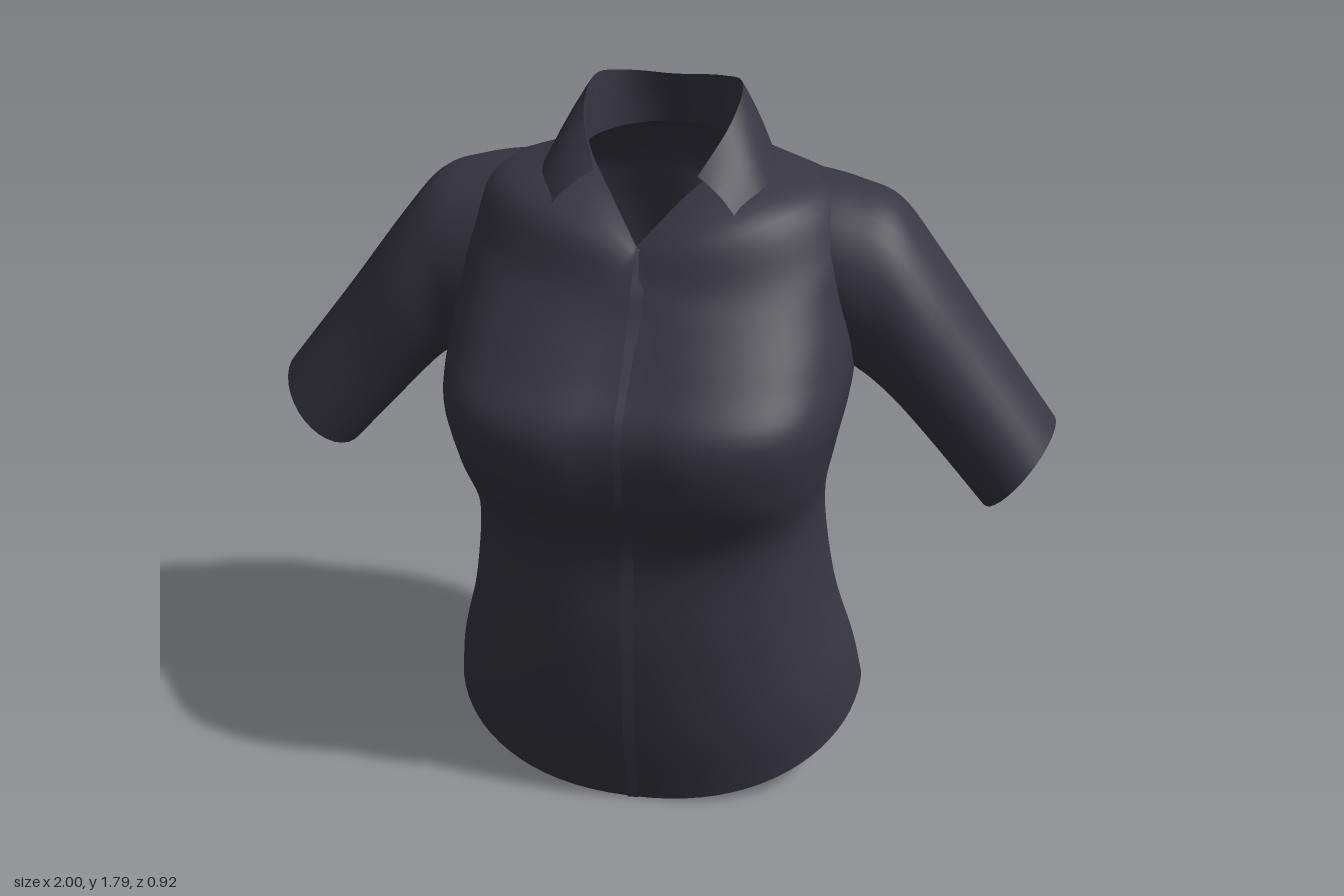
import * as THREE from 'three';

const cloth = new THREE.MeshStandardMaterial({ color: 0x373641, side: THREE.DoubleSide });
cloth.name = 'charcoal cloth';

// Smooth sheet of nu x nv cells; point(u, v) gives a Vector3, closed joins the ends of u
function sheet(name, nu, nv, closed, point) {
  const cols = closed ? nu : nu + 1;
  const pos = [], idx = [];
  for (let j = 0; j <= nv; j++)
    for (let i = 0; i < cols; i++) pos.push(...point(i / nu, j / nv).toArray());
  for (let j = 0; j < nv; j++)
    for (let i = 0; i < nu; i++) {
      const a = j * cols + i, b = j * cols + ((i + 1) % cols);
      idx.push(a, b, b + cols, a, b + cols, a + cols);
    }
  const g = new THREE.BufferGeometry();
  g.setAttribute('position', new THREE.Float32BufferAttribute(pos, 3));
  g.setIndex(idx);
  g.computeVertexNormals();
  const mesh = new THREE.Mesh(g, cloth);
  mesh.name = name;
  return mesh;
}

const spow = (v, p) => Math.sign(v) * Math.pow(Math.abs(v), p);

// Torso rings, hem to neckline:
// half width, z front, z back, z of sides, y front, y sides, y back, front squareness, front dip, back dip
const rings = [
  [0.55, 0.315, -0.45, -0.10, 0.0, 0.165, 0.125, 0.9, 0, 0],
  [0.525, 0.36, -0.375, -0.08, 0.22, 0.30, 0.28, 0.85, 0, 0],
  [0.47, 0.38, -0.31, -0.05, 0.48, 0.50, 0.50, 0.8, 0, 0.01],
  [0.44, 0.382, -0.30, -0.02, 0.74, 0.75, 0.75, 0.75, 0.005, 0.02],
  [0.465, 0.455, -0.345, 0.0, 0.93, 0.92, 0.92, 0.65, 0.02, 0.03],
  [0.495, 0.468, -0.40, 0.0, 1.09, 1.07, 1.07, 0.62, 0.025, 0.035],
  [0.50, 0.39, -0.455, -0.05, 1.20, 1.20, 1.20, 0.68, 0.02, 0.035],
  [0.49, 0.305, -0.462, -0.10, 1.31, 1.33, 1.32, 0.75, 0.01, 0.035],
  [0.48, 0.258, -0.45, -0.13, 1.38, 1.46, 1.42, 0.85, 0, 0.03],
  [0.43, 0.23, -0.43, -0.14, 1.42, 1.555, 1.50, 1, 0, 0.015],
  [0.30, 0.21, -0.38, -0.13, 1.45, 1.605, 1.58, 1.25, 0, 0],
  [0.20, 0.19, -0.29, -0.11, 1.475, 1.635, 1.65, 1.8, 0, 0],
];

function ringPoint(k, a) {
  const [w, zf, zb, zm, yf, ys, yb, p, frontDip, backDip] = rings[k];
  const s = Math.sin(a), c = Math.cos(a), front = c > 0;
  const e = front ? p : 0.9;
  const x = w * spow(s, e);
  let z = zm + (front ? zf - zm : zm - zb) * spow(c, e);
  z += (front ? -frontDip : backDip) * Math.exp(-((x / 0.1) ** 2));
  // the front of the top rings dips in a V, the others in a curve
  const vee = Math.pow(1 - Math.abs(x) / w, 1.4), bow = Math.pow(Math.abs(c), 1.3);
  const y = ys + (front ? (yf - ys) * (k > 8 ? vee : bow) : (yb - ys) * bow);
  return new THREE.Vector3(x, y, z);
}

const torsoCurve = (a) => new THREE.CatmullRomCurve3(rings.map((_, k) => ringPoint(k, a)), false, 'catmullrom', 0.5);

function makeTorso() {
  const n = 80;
  const curves = Array.from({ length: n }, (_, i) => torsoCurve((i / n) * Math.PI * 2));
  return sheet('torso', n, 55, true, (u, v) => curves[Math.round(u * n) % n].getPoint(v));
}

// Overlapping strip down the front
function makePlacket() {
  const centre = torsoCurve(0);
  return sheet('placket', 2, 55, false, (u, v) => {
    const p = centre.getPoint(v * 0.99);
    return p.add(new THREE.Vector3(u * 0.03, 0, 0.005 - u * 0.004));
  });
}

// Sleeve rings, from inside the shoulder to the cuff:
// top x, top y, bottom x, bottom y, z centre, half depth
const sleeveRings = [
  [0.28, 1.585, 0.32, 1.25, -0.155, 0.20],
  [0.38, 1.58, 0.42, 1.17, -0.15, 0.215],
  [0.48, 1.562, 0.49, 1.10, -0.142, 0.215],
  [0.58, 1.525, 0.54, 1.065, -0.135, 0.205],
  [0.68, 1.41, 0.61, 1.01, -0.12, 0.195],
  [0.83, 1.21, 0.71, 0.905, -0.11, 0.18],
  [1.0, 0.99, 0.835, 0.77, -0.09, 0.168],
];

function makeSleeve(name, side) {
  const n = 32;
  const curves = Array.from({ length: n }, (_, i) => {
    const a = (i / n) * Math.PI * 2 * side, c = Math.cos(a), s = Math.sin(a);
    return new THREE.CatmullRomCurve3(sleeveRings.map(([tx, ty, bx, by, z, d]) => new THREE.Vector3(
      side * ((tx + bx) / 2 + ((tx - bx) / 2) * c),
      (ty + by) / 2 + ((ty - by) / 2) * c,
      z + d * s)), false, 'catmullrom', 0.5);
  });
  return sheet(name, n, 30, true, (u, v) => curves[Math.round(u * n) % n].getPoint(v));
}

// Collar edges from the centre back to the left front, mirrored to the right
function collarEdge(half) {
  const left = half.map((p) => new THREE.Vector3(...p));
  const right = left.slice(1).reverse().map((p) => new THREE.Vector3(-p.x, p.y, p.z));
  return new THREE.CatmullRomCurve3([...right, ...left], false, 'catmullrom', 0.5);
}

function makeCollar() {
  const base = collarEdge([[0, 1.64, -0.29], [0.13, 1.635, -0.24], [0.195, 1.625, -0.12], [0.155, 1.60, -0.02], [0.085, 1.56, 0.075]]);
  const fold = collarEdge([[0, 1.772, -0.25], [0.12, 1.778, -0.238], [0.185, 1.782, -0.16], [0.18, 1.72, -0.03], [0.125, 1.625, 0.095]]);
  const edge = collarEdge([[0, 1.65, -0.315], [0.16, 1.65, -0.30], [0.265, 1.615, -0.17], [0.285, 1.58, 0.0], [0.235, 1.53, 0.135]]);
  const stand = sheet('collarStand', 48, 4, false, (u, v) => base.getPoint(u).lerp(fold.getPoint(u), v));
  const fall = sheet('collarFall', 48, 6, false, (u, v) => {
    const p = fold.getPoint(u).lerp(edge.getPoint(u), v);
    p.y += 0.012 * Math.sin(Math.PI * v); // soft roll over the fold
    return p;
  });
  const collar = new THREE.Group();
  collar.name = 'collar';
  collar.add(stand, fall);
  return collar;
}

export function createModel() {
  const shirt = new THREE.Group();
  shirt.name = 'shirt';
  shirt.add(makeTorso(), makePlacket(), makeSleeve('leftSleeve', 1), makeSleeve('rightSleeve', -1), makeCollar());
  return shirt;
}
